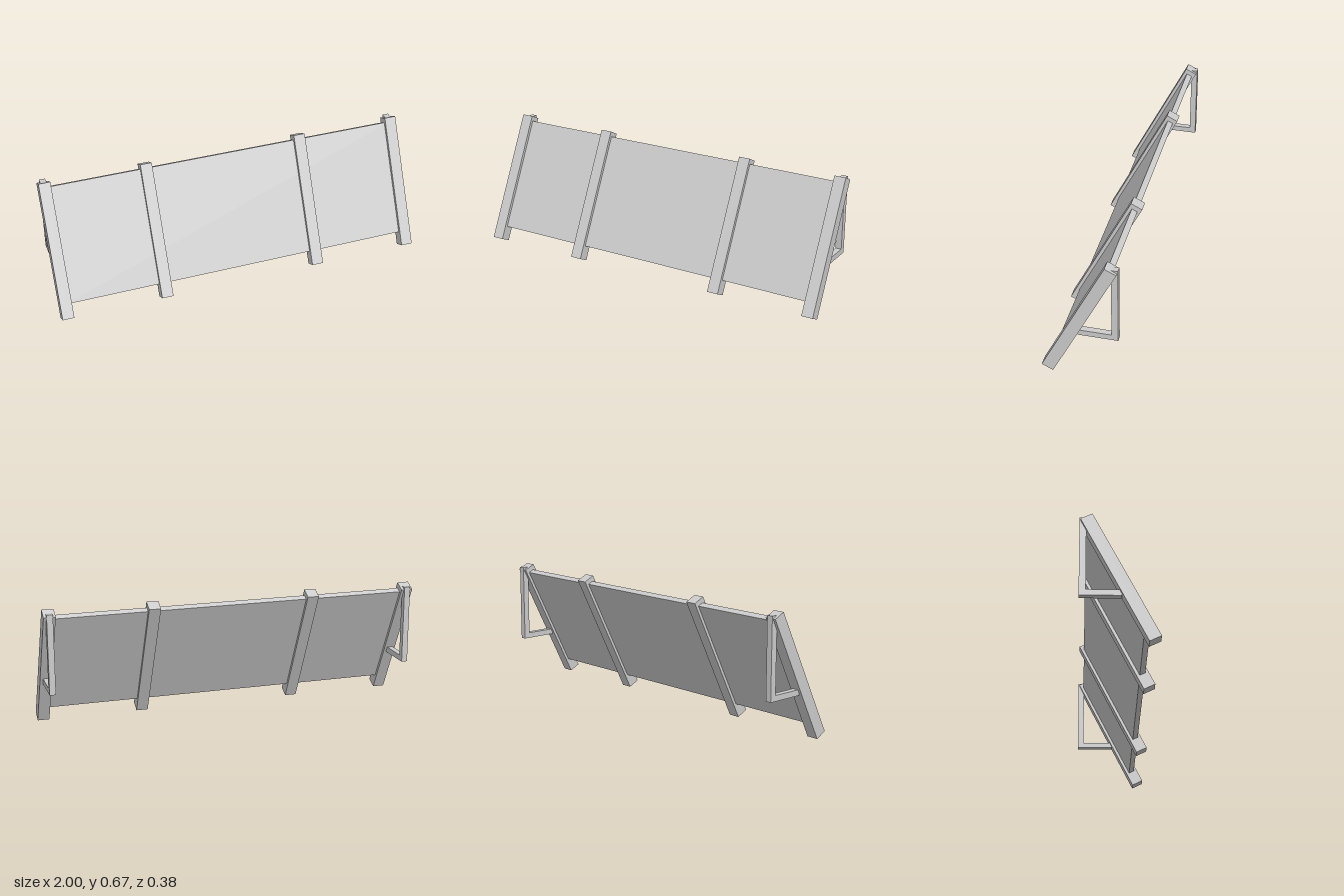
import * as THREE from 'three';

export function createModel() {
  const group = new THREE.Group();
  const material = new THREE.MeshStandardMaterial({ color: 0xcccccc, flatShading: true });

  const box = (parent, name, size, position) => {
    const mesh = new THREE.Mesh(new THREE.BoxGeometry(...size), material);
    mesh.name = name;
    mesh.position.set(...position);
    parent.add(mesh);
  };

  // Leaning barrier: panel and four posts share one tilted frame
  const barrier = new THREE.Group();
  barrier.name = 'leaningBarrier';
  barrier.position.set(0, 0.3385, 0.002);
  barrier.rotation.x = -Math.atan(0.5);
  group.add(barrier);

  box(barrier, 'panel', [1.94, 0.62, 0.031], [0, 0.025, -0.001]);
  for (const x of [-0.969, -0.43, 0.43, 0.969]) {
    box(barrier, 'post', [0.062, 0.721, 0.0635], [x, 0, 0]);
  }

  // L-shaped bracket behind each end post
  for (const side of [-1, 1]) {
    const bracket = new THREE.Group();
    bracket.name = side > 0 ? 'leftBracket' : 'rightBracket';
    bracket.position.x = side * 0.969;
    box(bracket, 'bracketUpright', [0.032, 0.418, 0.033], [0, 0.452, -0.1755]);
    box(bracket, 'bracketArm', [0.032, 0.03, 0.17], [0, 0.258, -0.075]);
    group.add(bracket);
  }

  return group;
}
